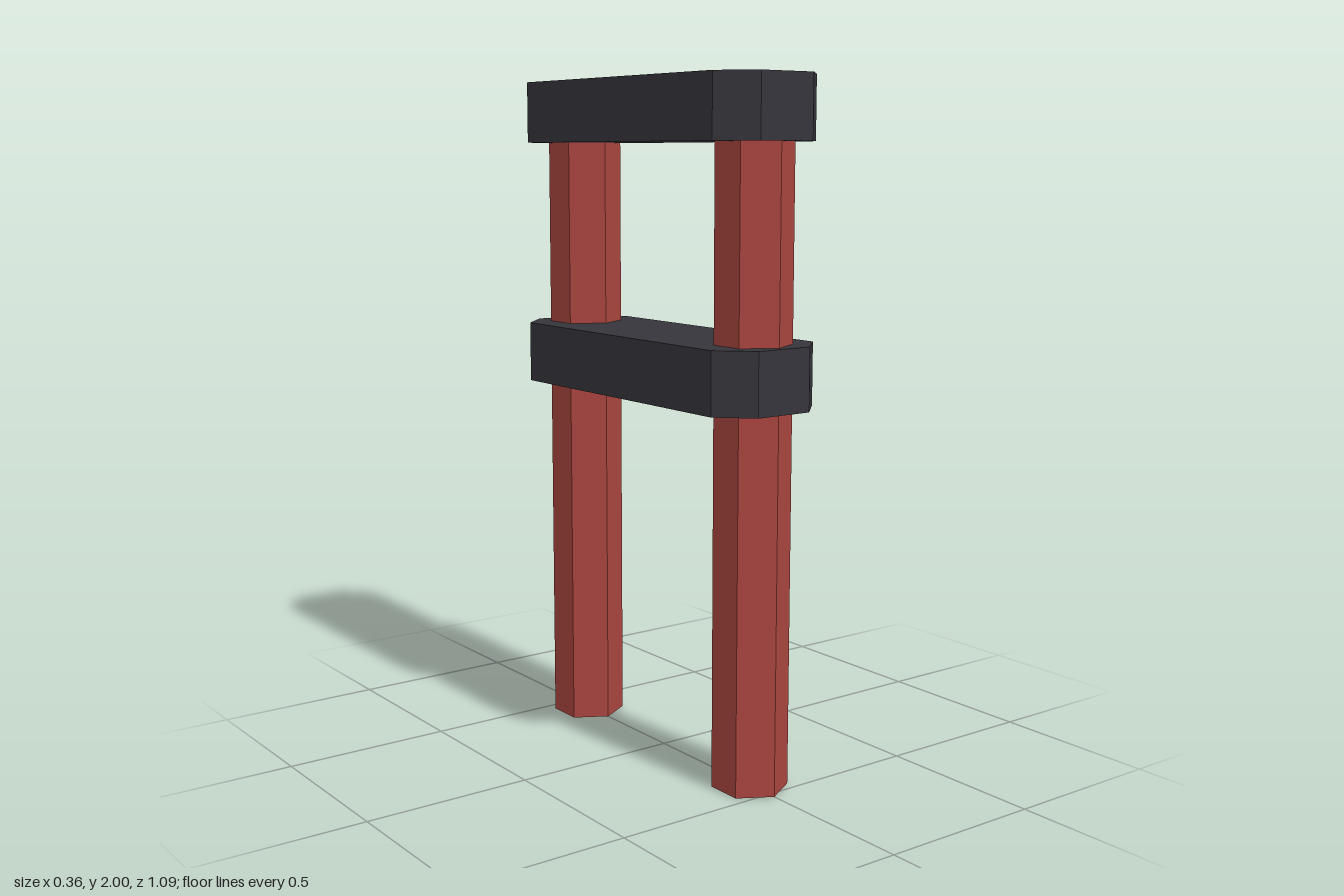
import * as THREE from 'three';

const POST_R = 0.11, POST_Z = 0.413, BAR_H = 0.18;

// Hexagon outline with points toward +z and -z
function hexPoints(cz) {
  return Array.from({ length: 6 }, (_, i) => {
    const a = (i * Math.PI) / 3;
    return new THREE.Vector2(POST_R * Math.sin(a), cz + POST_R * Math.cos(a));
  });
}

// Chamfered plank with two hexagonal sockets, top face at y = 0
function barGeometry() {
  const w = 0.18, l = 0.545, cx = 0.09, cz = 0.455;
  const outline = [[cx, -l], [w, -cz], [w, cz], [cx, l], [-cx, l], [-w, cz], [-w, -cz], [-cx, -l]];
  const shape = new THREE.Shape(outline.map(([x, z]) => new THREE.Vector2(x, z)));
  for (const s of [1, -1]) shape.holes.push(new THREE.Path(hexPoints(s * POST_Z)));
  return new THREE.ExtrudeGeometry(shape, { depth: BAR_H, bevelEnabled: false }).rotateX(Math.PI / 2);
}

export function createModel() {
  const red = new THREE.MeshStandardMaterial({ color: 0xa9453f, flatShading: true });
  red.name = 'red post';
  const dark = new THREE.MeshStandardMaterial({ color: 0x36353b, flatShading: true });
  dark.name = 'dark bar';

  const model = new THREE.Group();
  model.name = 'postFrame';

  // Two full-height hexagonal posts, flush with the top bar
  const postGeo = new THREE.CylinderGeometry(POST_R, POST_R, 2, 6);
  for (const [name, s] of [['frontPost', 1], ['backPost', -1]]) {
    const post = new THREE.Mesh(postGeo, red);
    post.name = name;
    post.position.set(0, 1, s * POST_Z);
    model.add(post);
  }

  // Two crossbars joining the posts
  const barGeo = barGeometry();
  for (const [name, top] of [['topBar', 2], ['middleBar', 1.27]]) {
    const bar = new THREE.Mesh(barGeo, dark);
    bar.name = name;
    bar.position.y = top;
    model.add(bar);
  }
  return model;
}
